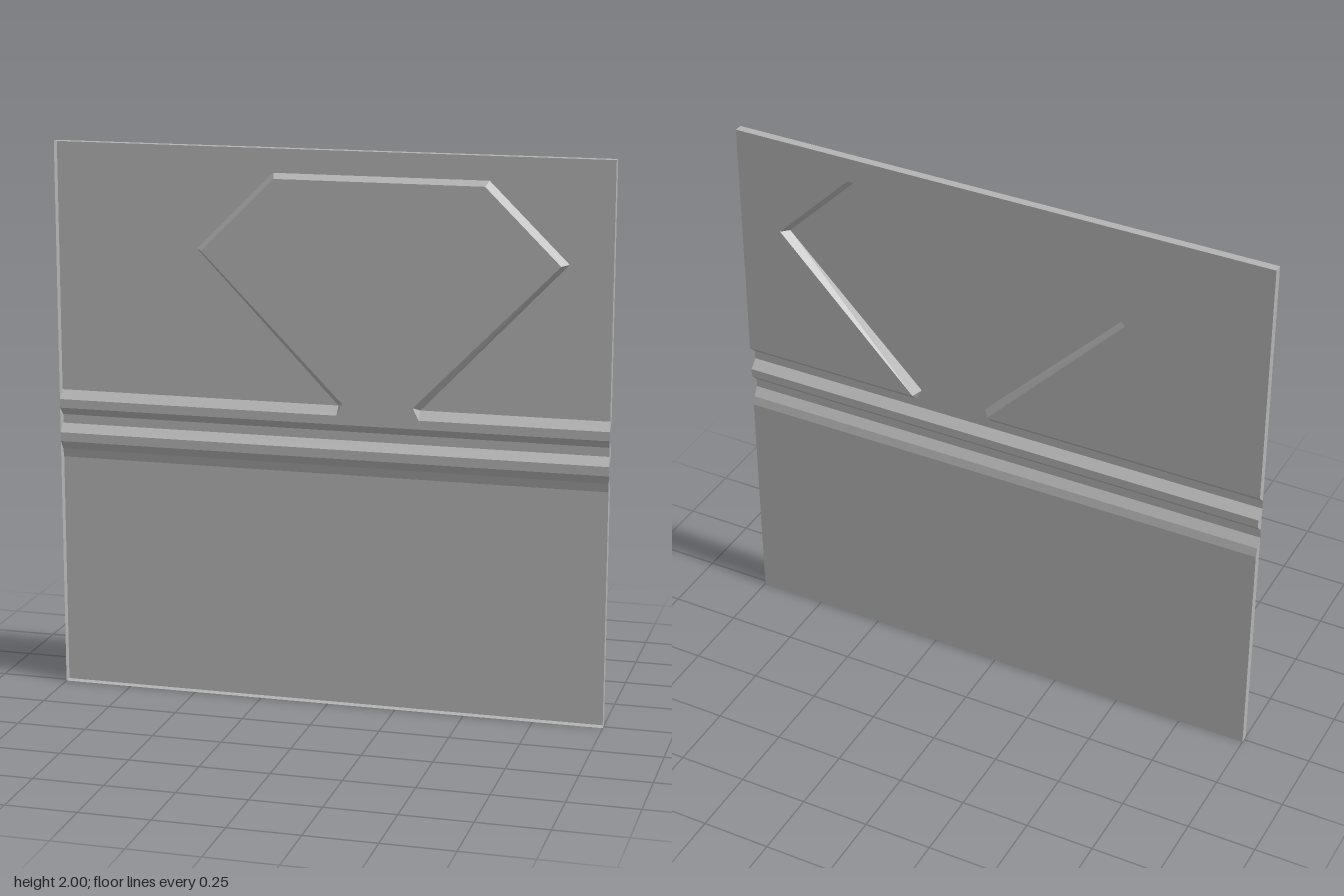
import * as THREE from 'three';

const D = 0.015; // half depth: panel face at z = -D, groove floors and open rim at z = +D
const MID = 0.18; // the recess is symmetric about x = MID

// Strip of quads between a lower and an upper polyline, both running left to right
function strip(lower, upper) {
  const p = [];
  for (let i = 0; i + 1 < lower.length; i++) {
    p.push(...lower[i], ...lower[i + 1], ...upper[i + 1]);
    p.push(...lower[i], ...upper[i + 1], ...upper[i]);
  }
  const g = new THREE.BufferGeometry();
  g.setAttribute('position', new THREE.Float32BufferAttribute(p, 3));
  g.computeVertexNormals();
  return g;
}

const flat = (pts) => new THREE.ShapeGeometry(new THREE.Shape(pts.map(([x, y]) => new THREE.Vector2(x, y))));
const mirror = (half) => [...half, ...half.map(([x, y]) => [2 * MID - x, y]).reverse()];
const at = (pts, z) => pts.map(([x, y]) => [x, y, z]);

export function createModel() {
  const group = new THREE.Group();
  const grey = new THREE.MeshStandardMaterial({ color: 0xb4b4b4, side: THREE.DoubleSide });
  grey.name = 'panelGrey';
  const add = (name, geometry) => {
    const mesh = new THREE.Mesh(geometry, grey);
    mesh.name = name;
    group.add(mesh);
    return mesh;
  };

  // Recess outline on the panel face and on the recess floor, point for point
  const outer = mirror([[-0.8, 1.097], [0.032, 1.097], [0.032, 1.097], [-0.484, 1.634], [-0.203, 1.911]]);
  const inner = mirror([[-0.8, 1.067], [0.032, 1.067], [0.053, 1.11], [-0.46, 1.631], [-0.193, 1.894]]);
  for (const line of [outer, inner]) {
    line[0][0] = -1;
    line[line.length - 1][0] = 1;
  }

  // Upper panel, its sloped edge and the recess floor joined to the upper groove
  const edge = outer.filter((p, i) => i !== 2 && i !== 7);
  add('upperPanel', flat([...edge, [1, 2], [-1, 2]])).position.z = -D;
  add('recessBevel', strip(at(inner, D), at(outer, -D)));
  add('recessFloor', flat([[-1, 1.035], [1, 1.035], ...[...inner].reverse()])).position.z = D;

  // Full-width bands, from the bottom edge up to the upper groove
  const profile = [[0, -D], [0.847, -D], [0.879, -0.007], [0.911, D],
    [0.944, D], [0.973, -D], [1.005, -D], [1.035, D]];
  const names = ['lowerPanel', 'lowerShoulder', 'lowerBevel', 'lowerGrooveFloor',
    'ribLowerBevel', 'ribFace', 'ribUpperBevel'];
  const across = ([y, z]) => [[-1, y, z], [1, y, z]];
  names.forEach((name, i) => add(name, strip(across(profile[i]), across(profile[i + 1]))));

  // Top and bottom rims
  add('bottomRim', strip(across([0, D]), across([0, -D])));
  add('topRim', strip(across([2, D]), across([2, -D])));

  // Side rims, interrupted where the grooves run out
  const ends = {
    LowerRim: [...profile.slice(0, 4), [0, D]],
    RibRim: profile.slice(4),
    UpperRim: [[1.067, D], [1.097, -D], [2, -D], [2, D]],
  };
  for (const [side, s] of [['left', 1], ['right', -1]]) {
    for (const [name, pts] of Object.entries(ends)) {
      const g = flat(pts.map(([y, z]) => [-s * z, y])).rotateY(s * Math.PI / 2);
      add(side + name, g).position.x = s;
    }
  }
  return group;
}
